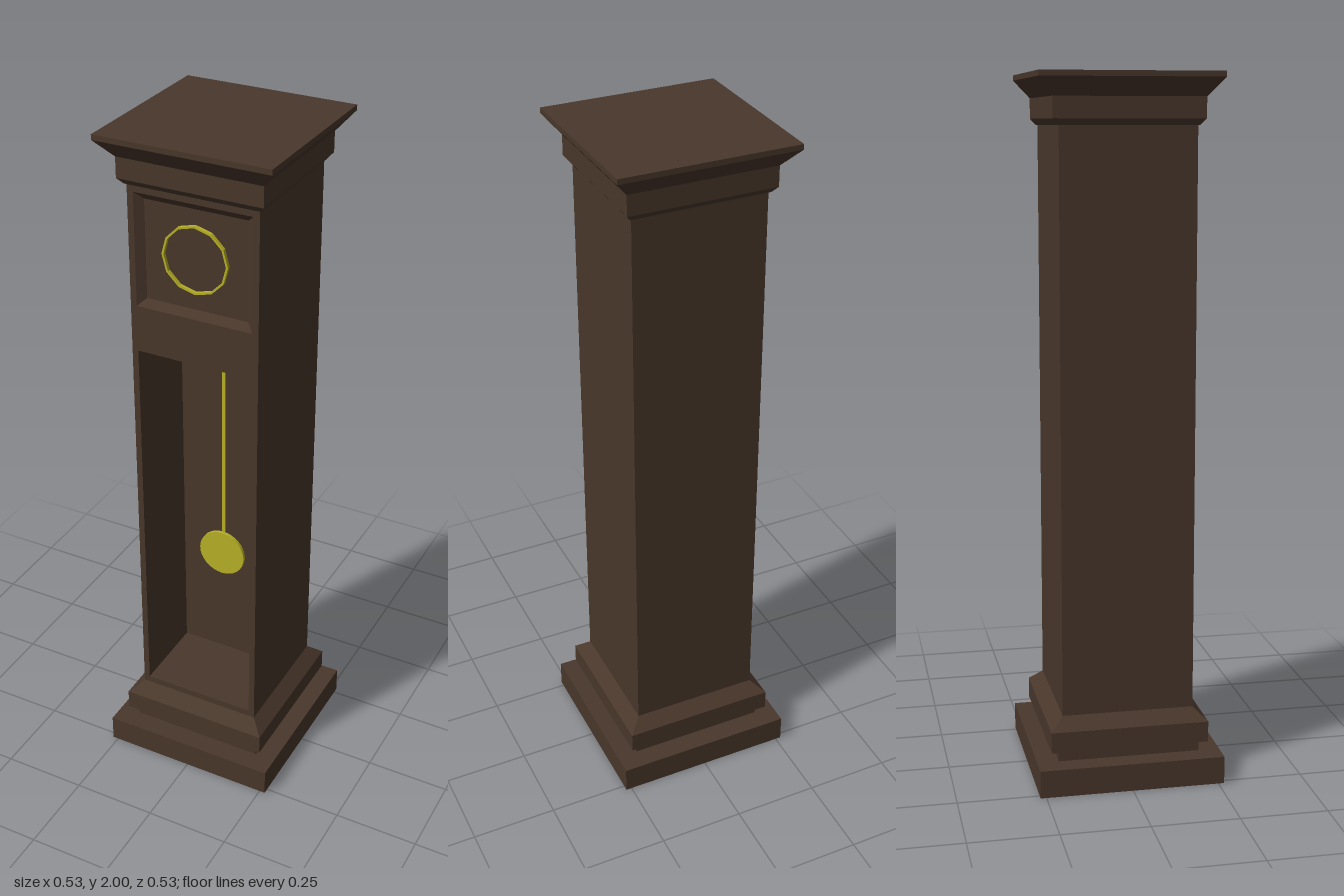
import * as THREE from 'three';

const wood = new THREE.MeshStandardMaterial({ color: 0x49372b, flatShading: true });
const brass = new THREE.MeshStandardMaterial({ color: 0xb8b026, flatShading: true });
const brassSmooth = new THREE.MeshStandardMaterial({ color: 0xb8b026 });

const HALF = 0.19;      // half width of the case
const BACK = -0.05;     // depth of the pendulum chamber's rear wall
const OPENING = 0.172;  // half width of both openings

// Square moulding turned from a profile of [half width, height] pairs.
function squareTurned(profile) {
  const points = profile.map(([half, y]) => new THREE.Vector2(half * Math.SQRT2, y));
  return new THREE.LatheGeometry(points, 4, Math.PI / 4);
}

// Rectangle traced from left, right, bottom and top.
function rectangle(Type, l, r, b, t) {
  return new Type([[l, b], [r, b], [r, t], [l, t]].map(([x, y]) => new THREE.Vector2(x, y)));
}

export function createModel() {
  const model = new THREE.Group();
  const add = (name, geometry, material, x = 0, y = 0, z = 0) => {
    const mesh = new THREE.Mesh(geometry, material);
    mesh.name = name;
    mesh.position.set(x, y, z);
    model.add(mesh);
    return mesh;
  };

  // Stepped foot and flared crown
  add('plinth', squareTurned([
    [0, 0], [0.267, 0], [0.267, 0.08], [0.205, 0.08], [0.205, 0.115],
    [0.228, 0.115], [0.228, 0.175], [HALF, 0.21], [0, 0.21],
  ]), wood);
  add('cornice', squareTurned([
    [0, 1.86], [0.195, 1.86], [0.209, 1.877], [0.209, 1.935],
    [0.251, 1.985], [0.251, 2], [0, 2],
  ]), wood);

  // Case front, pierced by the door and dial openings
  const front = rectangle(THREE.Shape, -HALF, HALF, 0.2, 1.87);
  front.holes.push(
    rectangle(THREE.Path, -OPENING, OPENING, 0.23, 1.38),
    rectangle(THREE.Path, -OPENING, OPENING, 1.515, 1.84),
  );
  add('caseFront', new THREE.ExtrudeGeometry(front, { depth: HALF - BACK, bevelEnabled: false }),
    wood, 0, 0, BACK);
  add('caseBack', new THREE.BoxGeometry(HALF * 2, 1.67, BACK + HALF),
    wood, 0, 1.035, (BACK - HALF) / 2);

  // Shallow dial panel with sloping surround
  const panel = squareTurned([[OPENING, HALF], [0.15, 0.172], [0, 0.172]]);
  panel.rotateX(Math.PI / 2);
  panel.scale(1, 0.945, 1);
  add('dialPanel', panel, wood, 0, 1.6775, 0);

  // Twelve-sided dial ring
  const ring = new THREE.LatheGeometry(
    [[0.091, 0], [0.097, 0], [0.097, 0.01], [0.091, 0.01], [0.091, 0]]
      .map(([r, y]) => new THREE.Vector2(r, y)), 12);
  ring.rotateX(Math.PI / 2);
  add('dialRing', ring, brass, 0, 1.68, 0.172);

  // Pendulum
  add('pendulumRod', new THREE.BoxGeometry(0.01, 0.72, 0.006), brass, 0.003, 1.02, 0.025);
  const bob = new THREE.CylinderGeometry(0.073, 0.073, 0.01, 32);
  bob.rotateX(Math.PI / 2);
  add('pendulumBob', bob, brassSmooth, 0, 0.66, 0.03);

  return model;
}
